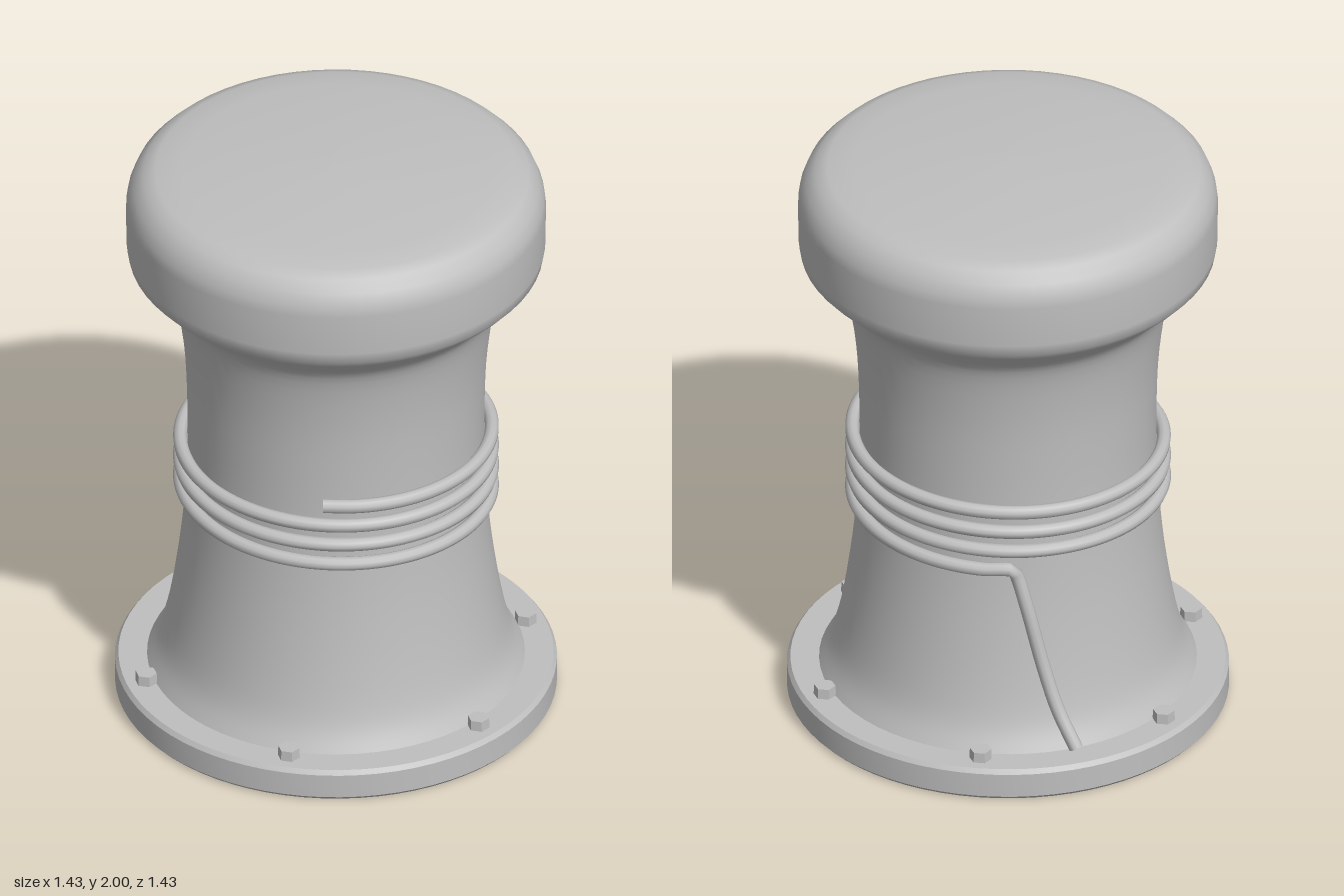
import * as THREE from 'three';
import { toCreasedNormals } from 'three/addons/utils/BufferGeometryUtils.js';

const steel = new THREE.MeshStandardMaterial({ color: 0xbfbfbf });
steel.name = 'grey metal';

const vectors = (pairs) => pairs.map(([r, y]) => new THREE.Vector2(r, y));

// Point at an angle (degrees from +z towards +x), height and radius
function polar(degrees, y, r) {
  const a = THREE.MathUtils.degToRad(degrees);
  return new THREE.Vector3(Math.sin(a) * r, y, Math.cos(a) * r);
}

export function createModel() {
  const model = new THREE.Group();
  model.name = 'mooringBollard';
  const add = (name, geometry, parent = model) => {
    const mesh = new THREE.Mesh(geometry, steel);
    mesh.name = name;
    parent.add(mesh);
    return mesh;
  };

  // Round foot plate with a slightly softened rim
  const plate = vectors([[0, 0], [0.705, 0], [0.716, 0.012], [0.716, 0.095], [0.705, 0.11], [0, 0.11]]);
  add('basePlate', toCreasedNormals(new THREE.LatheGeometry(plate, 72), 0.6));

  // Waisted column, flaring at the foot and under the cap
  const column = new THREE.SplineCurve(vectors([
    [0.615, 0.105], [0.575, 0.18], [0.547, 0.28], [0.518, 0.45], [0.495, 0.65], [0.482, 0.88],
    [0.482, 1.1], [0.492, 1.3], [0.52, 1.48], [0.565, 1.56], [0.645, 1.63],
  ]));
  add('column', new THREE.LatheGeometry(column.getPoints(40), 64));

  // Heavy cap with rounded edges and a shallow dome
  const cap = vectors([
    [0.56, 1.555], [0.645, 1.63], [0.672, 1.66], [0.679, 1.7], [0.68, 1.84], [0.675, 1.875], [0.658, 1.918],
    [0.625, 1.952], [0.585, 1.969], [0.5, 1.978], [0.35, 1.989], [0.15, 1.998], [0, 2],
  ]);
  add('cap', new THREE.LatheGeometry(cap, 64));

  // Six hexagonal bolts around the plate
  const bolts = new THREE.Group();
  bolts.name = 'bolts';
  model.add(bolts);
  const boltShape = toCreasedNormals(new THREE.CylinderGeometry(0.035, 0.037, 0.045, 6), 0.5);
  for (let i = 0; i < 6; i++) {
    add('bolt', boltShape, bolts).position.copy(polar(30 + i * 60, 0.123, 0.64));
  }

  // Cable: three and a half turns, then a loose tail down to the plate
  const path = [];
  const steps = 105;
  for (let i = 0; i <= steps; i++) {
    const t = i / steps;
    path.push(polar(39 + t * 1261, 1.0 - t * 0.258, 0.505));
  }
  path.push(
    polar(221.5, 0.715, 0.505), polar(225, 0.6, 0.52), polar(230, 0.4, 0.545),
    polar(234, 0.25, 0.585), polar(238, 0.13, 0.645),
  );
  const curve = new THREE.CatmullRomCurve3(path);
  curve.arcLengthDivisions = 1500;
  const cable = new THREE.Group();
  cable.name = 'cable';
  model.add(cable);
  add('cableCoil', new THREE.TubeGeometry(curve, 420, 0.023, 10), cable);

  // Flat discs closing both cable ends
  for (const [t, sign] of [[0, -1], [1, 1]]) {
    const end = add('cableEnd', new THREE.CircleGeometry(0.023, 10), cable);
    end.position.copy(curve.getPointAt(t));
    end.lookAt(end.position.clone().addScaledVector(curve.getTangentAt(t), sign));
  }
  return model;
}
